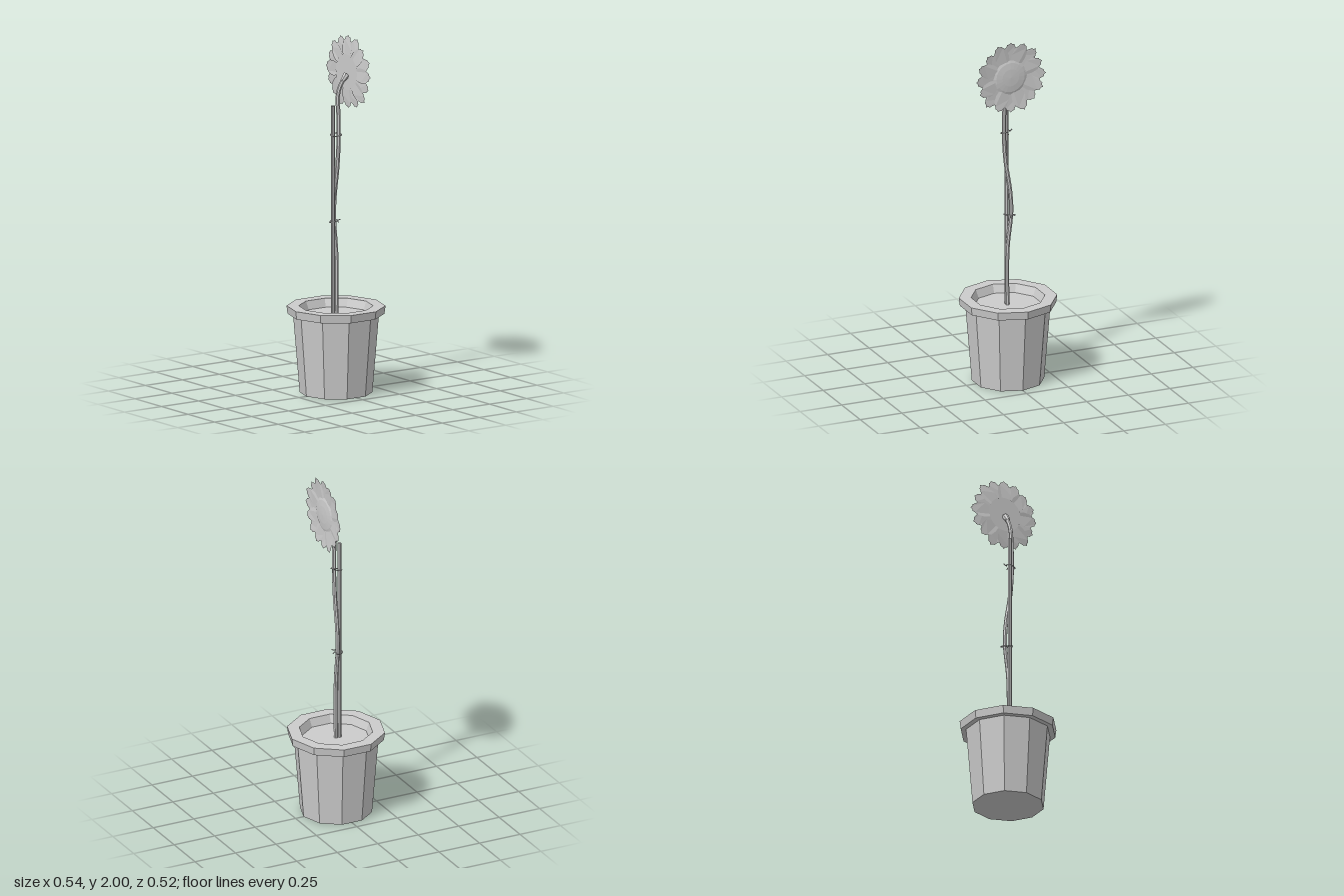
import * as THREE from 'three';

const material = () => new THREE.MeshStandardMaterial({
  color: 0xcccccc, flatShading: true, side: THREE.DoubleSide,
});
const V = (x, y, z) => new THREE.Vector3(x, y, z);

function addMesh(parent, name, geometry) {
  const mesh = new THREE.Mesh(geometry, material());
  mesh.name = name;
  parent.add(mesh);
  return mesh;
}

// Ten-sided turned part with a corner on the x axis
function turned(points) {
  return new THREE.LatheGeometry(points.map(([r, y]) => new THREE.Vector2(r, y)), 10, Math.PI / 2);
}

// One petal lying along +y, with a notched tip, curling gently forward
function petalGeometry(length, halfWidth, layer) {
  const side = [[0.3, 0.05], [0.75, 0.08], [1, 0.125], [0.95, 0.165], [0.62, 0.185], [0.5, 0.197], [0.22, 0.2]];
  const k = length / 0.21;
  const right = side.map(([w, r]) => new THREE.Vector2(w * halfWidth, r * k));
  const left = side.map(([w, r]) => new THREE.Vector2(-w * halfWidth, r * k)).reverse();
  const outline = [...right, new THREE.Vector2(0, length), ...left];
  const geometry = new THREE.ShapeGeometry(new THREE.Shape(outline));
  const p = geometry.attributes.position;
  for (let i = 0; i < p.count; i++) {
    const r = Math.hypot(p.getX(i), p.getY(i)) / 0.21;
    const across = p.getX(i) / halfWidth;
    p.setZ(i, layer + 0.013 * r * r - 0.003 * across * across);
  }
  geometry.computeVertexNormals();
  return geometry;
}

// Thin wire wrapped around the stake and the stem, ends twisted outward
function tie(parent, y, s, rise) {
  const points = [
    V(0.021, y + rise, -0.014 * s), V(0.009, y + 0.008, -0.006 * s), V(-0.012, y + 0.004, -0.016 * s),
    V(-0.035, y, -0.006 * s), V(-0.033, y - 0.004, 0.012 * s), V(-0.018, y - 0.004, 0.032 * s),
    V(0, y, 0.043 * s), V(0.014, y + 0.002, 0.034 * s), V(0.014, y + 0.006, 0.012 * s),
    V(0.02, y - 0.008, 0.004 * s),
  ];
  const curve = new THREE.CatmullRomCurve3(points);
  addMesh(parent, 'tie', new THREE.TubeGeometry(curve, 24, 0.0028, 5));
}

export function createModel() {
  const model = new THREE.Group();
  model.name = 'pottedFlower';

  // Pot with thick rim, and the soil inside it
  addMesh(model, 'pot', turned([
    [0, 0], [0.2, 0], [0.236, 0.44], [0.266, 0.44], [0.272, 0.485], [0.204, 0.485], [0.185, 0.435],
  ]));
  addMesh(model, 'soil', turned([[0.187, 0.438], [0, 0.438]]));

  // Straight support stake
  const stake = addMesh(model, 'stake', new THREE.CylinderGeometry(0.011, 0.011, 1.18, 8));
  stake.position.set(-0.021, 1.02, 0);

  // Winding stem that bends over towards the flower
  const path = new THREE.CatmullRomCurve3([
    V(0, 0.43, 0.002), V(0, 0.6, 0.006), V(0, 0.78, 0.002), V(0, 0.98, -0.019), V(0, 1.1, -0.013),
    V(0, 1.27, 0.013), V(0, 1.42, 0.024), V(0, 1.56, 0.023), V(0, 1.67, 0.017),
    V(0.022, 1.73, 0.016), V(0.058, 1.778, 0.018),
  ]);
  addMesh(model, 'stem', new THREE.TubeGeometry(path, 40, 0.012, 7));

  // Flare where the stem meets the flower
  const flare = addMesh(model, 'stemFlare', new THREE.CylinderGeometry(0.02, 0.012, 0.045, 7));
  flare.position.set(0.044, 1.762, 0.018);
  flare.rotation.z = -0.72;

  // Ties holding the stem to the stake
  tie(model, 0.957, -1, 0.012);
  tie(model, 1.447, 1, 0.024);

  // Flower head facing +x
  const flower = new THREE.Group();
  flower.name = 'flower';
  flower.position.set(0.06, 1.793, 0.015);
  flower.rotation.y = Math.PI / 2;
  model.add(flower);

  const petals = 16;
  for (let i = 0; i < petals; i++) {
    const front = i % 2;
    const length = 0.207 + 0.006 * Math.sin(i * 2.3);
    const petal = addMesh(flower, 'petal', petalGeometry(length, 0.042, front ? 0.003 : 0));
    petal.rotation.z = (i / petals) * Math.PI * 2;
  }

  // Low domed centre and flat back of the head
  const dome = addMesh(flower, 'flowerCentre', new THREE.LatheGeometry(
    [[0.1, 0.004], [0.085, 0.009], [0.05, 0.013], [0, 0.015]].map(([r, y]) => new THREE.Vector2(r, y)), 20));
  dome.rotation.x = Math.PI / 2;
  const back = addMesh(flower, 'flowerBack', new THREE.CircleGeometry(0.1, 20));
  back.rotation.y = Math.PI;
  back.position.z = -0.001;

  return model;
}
